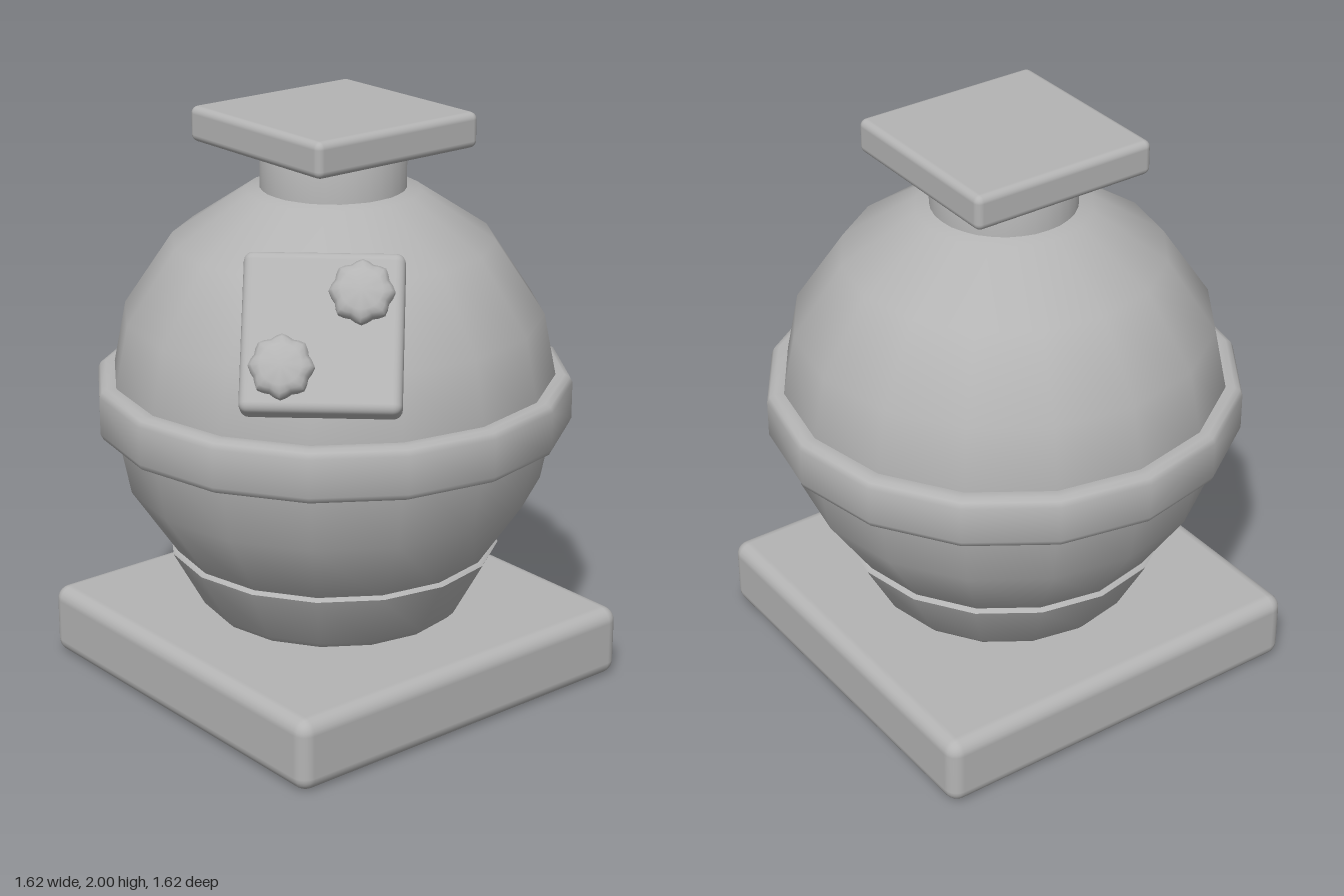
import * as THREE from 'three';
import { toCreasedNormals } from 'three/addons/utils/BufferGeometryUtils.js';
import { RoundedBoxGeometry } from 'three/addons/geometries/RoundedBoxGeometry.js';

const grey = new THREE.MeshStandardMaterial({ color: 0xb4b4b4 });
grey.name = 'stone grey';

function add(parent, name, geometry, x = 0, y = 0, z = 0) {
  const mesh = new THREE.Mesh(geometry, grey);
  mesh.name = name;
  mesh.position.set(x, y, z);
  parent.add(mesh);
  return mesh;
}

// Turned part from [radius, height] pairs listed bottom to top
function turned(profile, sides) {
  const points = profile.map(([r, y]) => new THREE.Vector2(r, y));
  return toCreasedNormals(new THREE.LatheGeometry(points, sides), 0.85);
}

// Low knob with a scalloped rim, axis along +z
function knobGeometry() {
  const profile = [[0.095, -0.03], [0.104, 0.0], [0.104, 0.025], [0.092, 0.042], [0.066, 0.052], [0, 0.054]];
  const geo = new THREE.LatheGeometry(profile.map(([r, y]) => new THREE.Vector2(r, y)), 32);
  const p = geo.attributes.position;
  for (let i = 0; i < p.count; i++) {
    const x = p.getX(i), z = p.getZ(i), r = Math.hypot(x, z);
    if (r < 0.08) continue;
    const k = 1 - 0.06 * (1 - Math.cos(8 * Math.atan2(x, z)));
    p.setX(i, x * k);
    p.setZ(i, z * k);
  }
  geo.rotateX(Math.PI / 2);
  return toCreasedNormals(geo, 0.85);
}

export function createModel() {
  const model = new THREE.Group();
  model.name = 'urn';

  // Square plinth and round foot
  add(model, 'plinth', new RoundedBoxGeometry(1.42, 0.25, 1.42, 3, 0.05), 0, 0.125, 0);
  add(model, 'foot', turned([
    [0, 0.25], [0.41, 0.25], [0.44, 0.26], [0.465, 0.285],
    [0.565, 0.468], [0.572, 0.482], [0.562, 0.492], [0.5, 0.492],
  ], 16));

  // Round body with a raised belt
  add(model, 'body', new THREE.SphereGeometry(0.77, 16, 8), 0, 1.02, 0);
  add(model, 'belt', turned([
    [0.72, 0.92], [0.785, 0.92], [0.803, 0.928], [0.812, 0.947],
    [0.812, 1.075], [0.803, 1.094], [0.785, 1.102], [0.757, 1.102], [0.72, 1.095],
  ], 16));

  // Neck and square lid
  add(model, 'neck', turned([
    [0.245, 1.68], [0.245, 1.865], [0.24, 1.876], [0.228, 1.881], [0, 1.881],
  ], 32));
  add(model, 'lid', new RoundedBoxGeometry(0.68, 0.12, 0.68, 3, 0.025), 0, 1.94, 0);

  // Tilted plate set against the shoulder, carrying two knobs
  const panel = new THREE.Group();
  panel.name = 'panel';
  panel.rotation.set(-0.576, -0.742, 0, 'YXZ');
  const outward = new THREE.Vector3(0, 0, 1).applyEuler(panel.rotation);
  panel.position.set(0, 1.02, 0).addScaledVector(outward, 0.735);
  model.add(panel);
  add(panel, 'panelPlate', new RoundedBoxGeometry(0.51, 0.52, 0.11, 3, 0.03));
  const knob = knobGeometry();
  for (const s of [1, -1]) add(panel, s > 0 ? 'upperKnob' : 'lowerKnob', knob, 0.122 * s, 0.122 * s, 0.06);

  return model;
}
